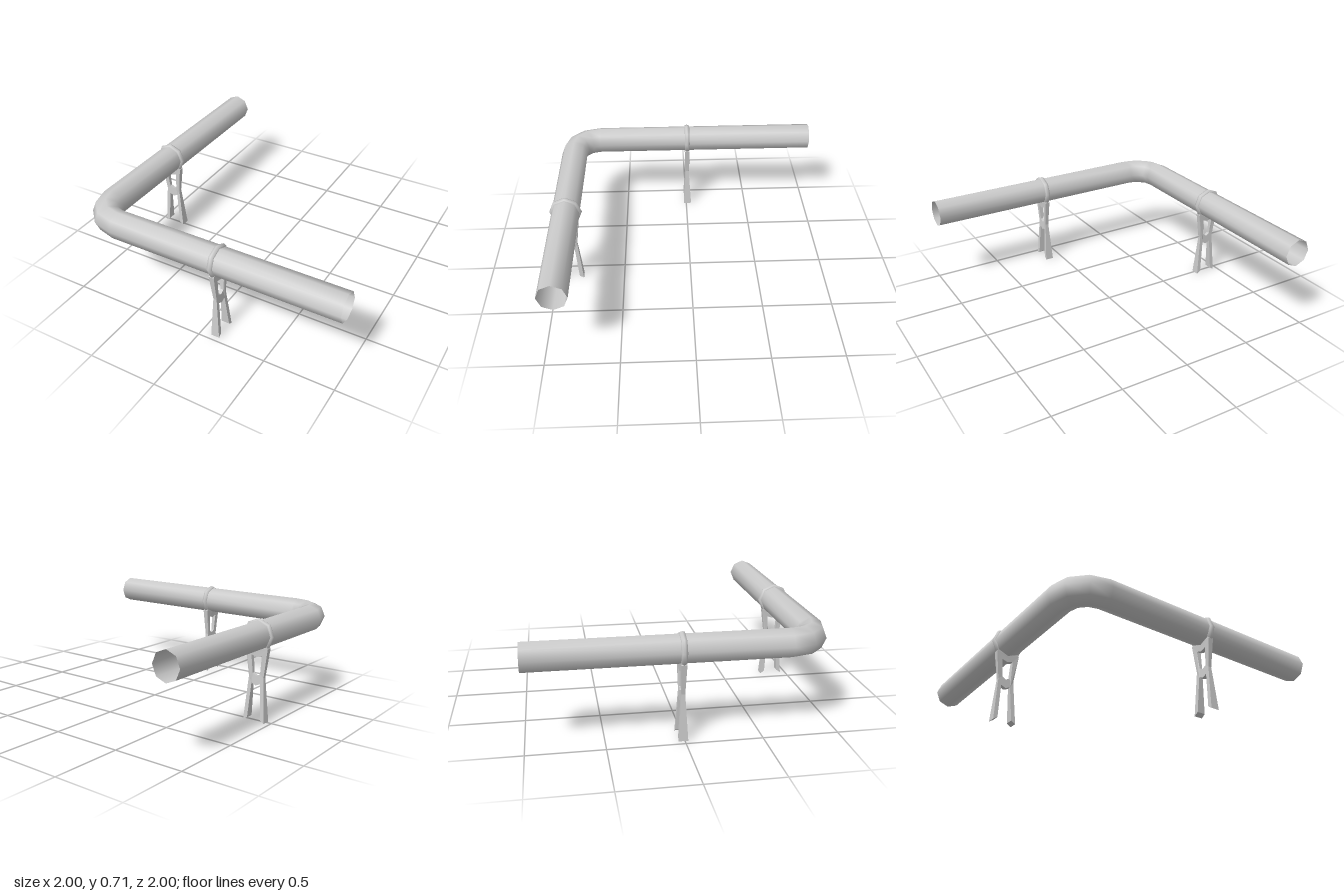
import * as THREE from 'three';

const material = new THREE.MeshStandardMaterial({ color: 0xcccccc, side: THREE.DoubleSide });
const SIDES = 8, RADIUS = 0.099, AXIS = 0.884, HEIGHT = 0.593, BEND = 0.195;

// Open octagonal tube: straight run, quarter bend in three steps, straight run
function pipeGeometry() {
  const c = AXIS - BEND;
  const sections = [{ x: -AXIS, z: -1, a: 0 }];
  for (let i = 0; i <= 3; i++) {
    const a = (i / 3) * Math.PI / 2;
    sections.push({ x: -c - BEND * Math.cos(a), z: c + BEND * Math.sin(a), a });
  }
  sections.push({ x: 1, z: AXIS, a: Math.PI / 2 });

  const positions = [], index = [];
  sections.forEach(({ x, z, a }, i) => {
    for (let j = 0; j < SIDES; j++) {
      const t = (j / SIDES) * Math.PI * 2;
      const out = RADIUS * Math.cos(t);
      positions.push(x - out * Math.cos(a), HEIGHT + RADIUS * Math.sin(t), z + out * Math.sin(a));
      if (i === 0) continue;
      const k = (j + 1) % SIDES, p = (i - 1) * SIDES, q = i * SIDES;
      index.push(p + j, p + k, q + j, p + k, q + k, q + j);
    }
  });
  const g = new THREE.BufferGeometry();
  g.setAttribute('position', new THREE.Float32BufferAttribute(positions, 3));
  g.setIndex(index);
  g.computeVertexNormals();
  return g;
}

// Half thickness of the stand: wide at the feet, thin at the waist
function halfDepth(y) {
  if (y < 0.35) return THREE.MathUtils.lerp(0.031, 0.01, y / 0.35);
  return THREE.MathUtils.lerp(0.01, 0.019, Math.min(1, (y - 0.35) / 0.14));
}

const points = (list) => list.map(([x, y]) => new THREE.Vector2(x, y));

// Two splayed legs joined by crossbars, with a window between them
function standGeometry() {
  const right = [[0.05, 0.02], [0.08, 0], [0.056, 0.31], [0.063, 0.36], [0.083, 0.512], [0.07, 0.527]];
  const left = right.map(([x, y]) => [-x, y]).reverse();
  const shape = new THREE.Shape(points([
    [0.033, 0.265], ...right, [0, 0.497], ...left, [-0.033, 0.265], [0, 0.25],
  ]));
  shape.holes.push(new THREE.Path(points([
    [0.04, 0.46], [0, 0.447], [-0.04, 0.46], [-0.028, 0.332], [0, 0.316], [0.028, 0.332],
  ])));
  const g = new THREE.ExtrudeGeometry(shape, { depth: 2, bevelEnabled: false });
  const p = g.attributes.position;
  for (let i = 0; i < p.count; i++) p.setZ(i, (p.getZ(i) - 1) * halfDepth(p.getY(i)));
  g.computeVertexNormals();
  return g;
}

function mesh(name, geometry) {
  const m = new THREE.Mesh(geometry, material);
  m.name = name;
  return m;
}

// Collar around the pipe with its stand below
function support(name, x, z, turn) {
  const group = new THREE.Group();
  group.name = name;
  const collar = mesh('collar', new THREE.TorusGeometry(0.093, 0.022, 8, SIDES));
  collar.position.y = HEIGHT;
  group.add(collar, mesh('stand', standGeometry()));
  group.position.set(x, 0, z);
  group.rotation.y = turn;
  return group;
}

export function createModel() {
  const model = new THREE.Group();
  model.name = 'pipeOnStands';
  model.add(
    mesh('pipe', pipeGeometry()),
    support('sideSupport', -AXIS, -0.01, 0),
    support('frontSupport', 0.107, AXIS, Math.PI / 2),
  );
  return model;
}
